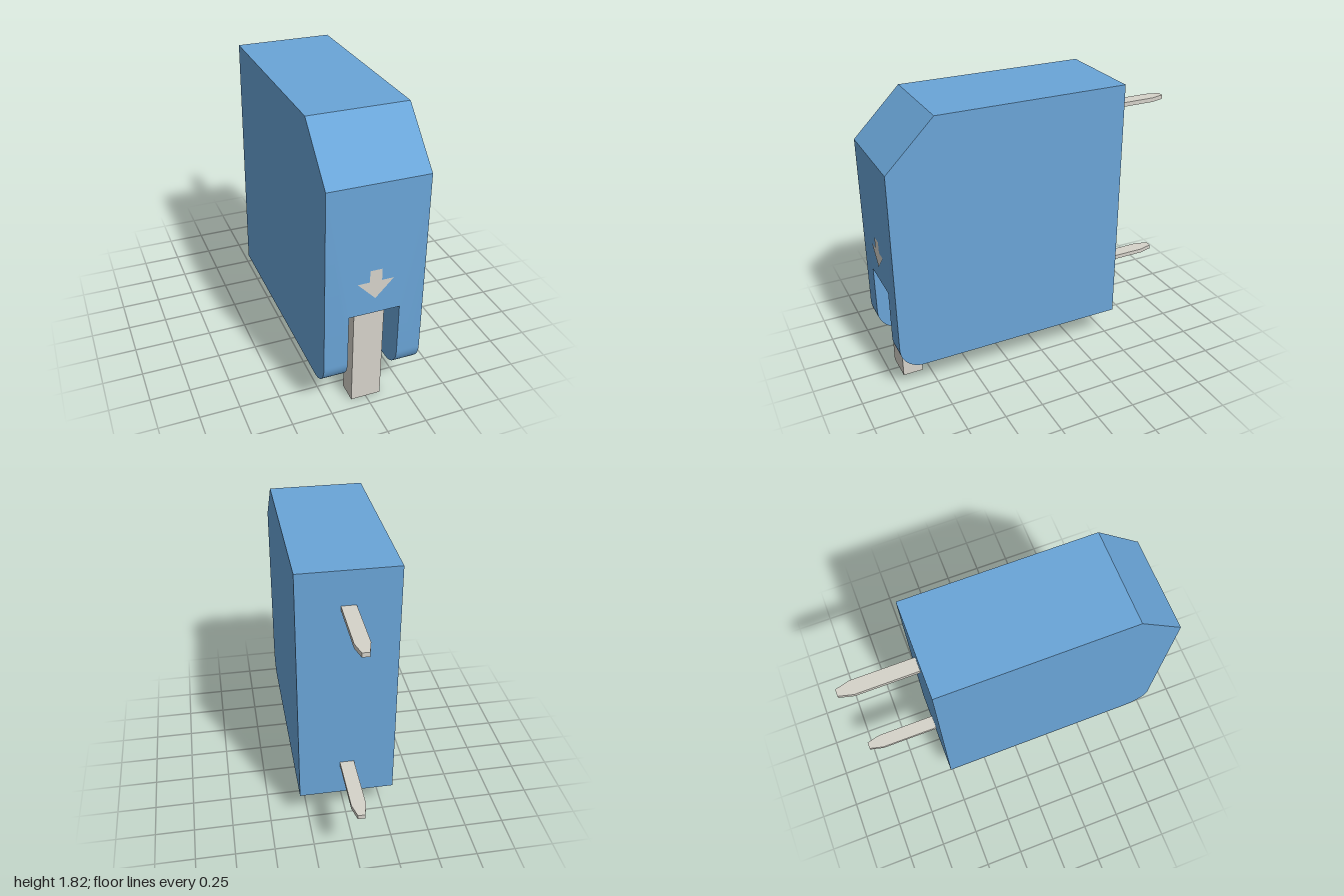
import * as THREE from 'three';
import { mergeGeometries, toCreasedNormals } from 'three/addons/utils/BufferGeometryUtils.js';

const HALF = 0.305, SLOT = 0.157;            // half widths of body and slot
const BOTTOM = 0.21, TOP = 1.82, BACK = -0.52, FRONT = 1;
const ROOF = 0.69, RAMP_BACK = 0.26, RAMP_FRONT = 0.74;
const R = 0.15;                              // lower front rounding

const shapeOf = (pts) => new THREE.Shape(pts.map(([u, v]) => new THREE.Vector2(u, v)));

// Flat panel: a 2D outline placed in space; flip turns it to face the other way
function panel(pts, place, flip = false) {
  const g = new THREE.ShapeGeometry(shapeOf(pts)).toNonIndexed();
  const p = g.attributes.position;
  const out = [];
  for (let i = 0; i < p.count; i += 3) {
    for (const k of flip ? [0, 2, 1] : [0, 1, 2]) out.push(...place(p.getX(i + k), p.getY(i + k)));
  }
  const geo = new THREE.BufferGeometry();
  geo.setAttribute('position', new THREE.Float32BufferAttribute(out, 3));
  return geo;
}

// Band of quads from x0 to x1 along a path of [z, y] points
function band(path, x0, x1) {
  const out = [];
  for (let i = 0; i + 1 < path.length; i++) {
    const [az, ay] = path[i], [bz, by] = path[i + 1];
    out.push(x0, ay, az, x1, ay, az, x1, by, bz, x0, ay, az, x1, by, bz, x0, by, bz);
  }
  const geo = new THREE.BufferGeometry();
  geo.setAttribute('position', new THREE.Float32BufferAttribute(out, 3));
  return geo;
}

function bodyGeometry() {
  const arc = [];
  for (let i = 0; i <= 12; i++) {
    const a = (i / 12) * Math.PI / 2;
    arc.push([FRONT - R + R * Math.sin(a), BOTTOM + R - R * Math.cos(a)]);
  }
  const upper = [[FRONT, 1.52], [0.7, TOP], [BACK, TOP], [BACK, BOTTOM]];
  const slot = [[RAMP_BACK, BOTTOM], [RAMP_FRONT, ROOF], [FRONT, ROOF]];
  const outline = [...arc, ...upper];
  const slotWall = [...arc, ...[...slot].reverse()];
  // Rectangle notched in the middle of its v0 or v1 edge
  const notched = (open, far, depth) => [
    [-HALF, open], [-SLOT, open], [-SLOT, depth], [SLOT, depth],
    [SLOT, open], [HALF, open], [HALF, far], [-HALF, far],
  ];
  const parts = [
    band(upper, -HALF, HALF),                                                  // chamfer, top, back
    band(slot, -SLOT, SLOT),                                                   // slot ramp and roof
    panel(notched(BOTTOM + R, 1.52, ROOF), (x, y) => [x, y, FRONT]),           // front
    panel(notched(FRONT - R, BACK, RAMP_BACK), (x, z) => [x, BOTTOM, z]),      // underside
  ];
  for (const s of [-1, 1]) {
    parts.push(panel(outline, (z, y) => [s * HALF, y, z], s > 0));             // outer side
    parts.push(panel(slotWall, (z, y) => [s * SLOT, y, z], s < 0));            // slot side
    parts.push(s < 0 ? band(arc, -HALF, -SLOT) : band(arc, SLOT, HALF));       // rounded foot
  }
  return toCreasedNormals(mergeGeometries(parts), 0.5);
}

export function createModel() {
  const model = new THREE.Group();
  const blue = new THREE.MeshStandardMaterial({ color: 0x6aa5d8 });
  const metal = new THREE.MeshStandardMaterial({ color: 0xd6d3ca });

  const add = (name, geometry, material, x, y, z) => {
    const mesh = new THREE.Mesh(geometry, material);
    mesh.name = name;
    mesh.position.set(x, y, z);
    model.add(mesh);
    return mesh;
  };

  add('housing', bodyGeometry(), blue, 0, 0, 0);

  // Actuator hanging from the slot roof
  add('plunger', new THREE.BoxGeometry(0.19, ROOF, 0.13), metal, 0, ROOF / 2, 0.865);

  // Flat arrow on the front, pointing down at the plunger
  const arrow = shapeOf([
    [0, 0.79], [0.11, 0.905], [0.037, 0.905], [0.037, 0.98],
    [-0.037, 0.98], [-0.037, 0.905], [-0.11, 0.905],
  ]);
  add('arrowMark', new THREE.ShapeGeometry(arrow), metal, 0, 0, FRONT + 0.002);

  // Two flat contact pins with tapered tips at the back
  const blade = shapeOf([
    [-0.045, 0.52], [0.045, 0.52], [0.045, 0.91], [0.022, 1], [-0.022, 1], [-0.045, 0.91],
  ]);
  const pin = new THREE.ExtrudeGeometry(blade, { depth: 0.028, bevelEnabled: false });
  pin.rotateX(-Math.PI / 2);
  add('lowerPin', pin, metal, 0, 0.432, 0);
  add('upperPin', pin, metal, 0, 1.572, 0);

  return model;
}
